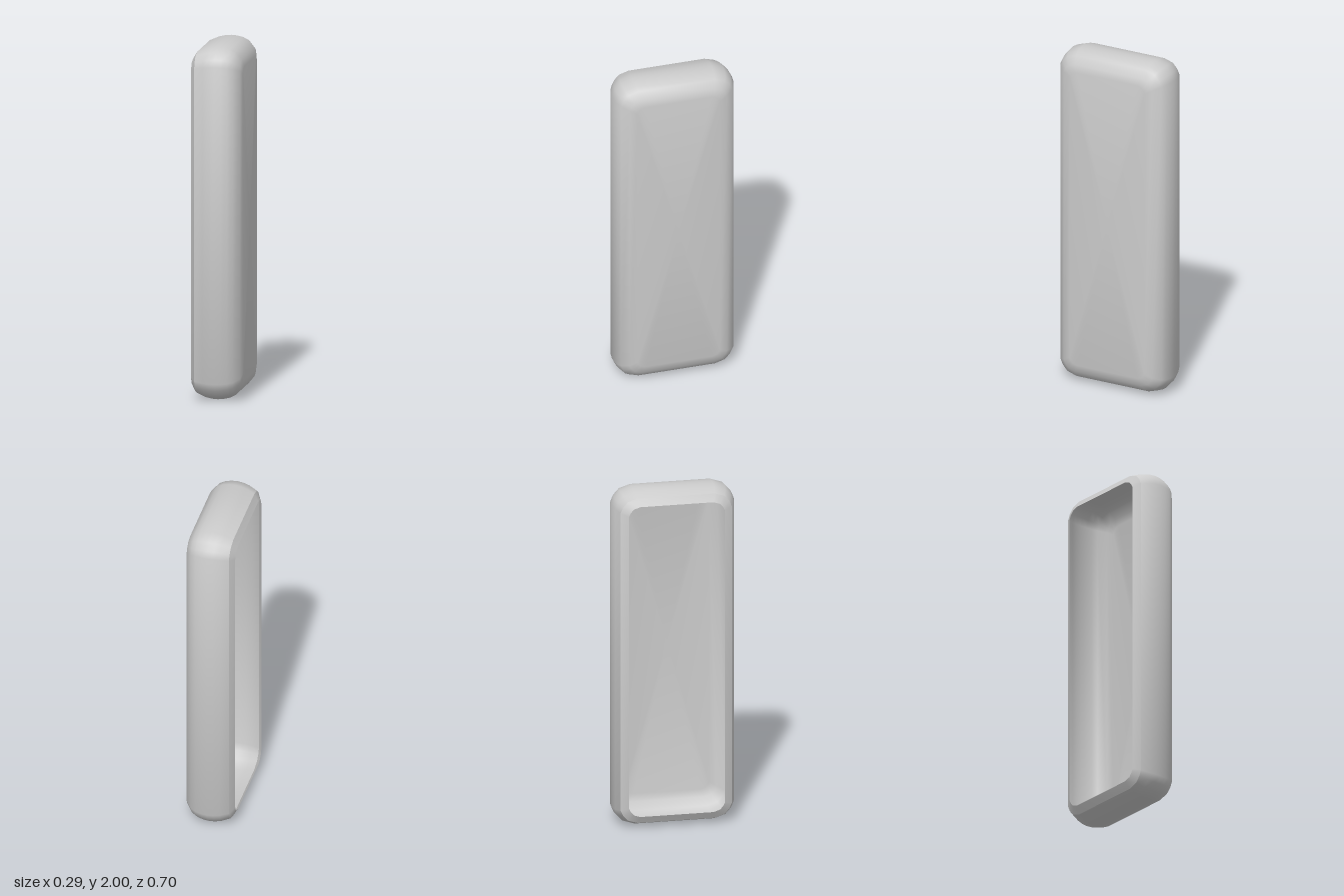
import * as THREE from 'three';
import { toCreasedNormals } from 'three/addons/utils/BufferGeometryUtils.js';

const HALF_Z = 0.35, HALF_Y = 1;

// Chamfer-like corner: [distance from the z side, distance from the y end]
const CORNER = [[0, 0.1], [0.018, 0.06], [0.052, 0.022], [0.12, 0]];

// Soft-cornered rectangle in the y-z plane at depth x, inset from the full outline
function ring(x, inset) {
  const k = Math.max(1 - inset * 6, 0.4);
  const points = [];
  for (let c = 0; c < 4; c++) {
    const sz = c === 0 || c === 3 ? 1 : -1;
    const sy = c < 2 ? 1 : -1;
    const corner = c % 2 ? [...CORNER].reverse() : CORNER;
    for (const [dz, dy] of corner) {
      points.push(new THREE.Vector3(
        x,
        1 + sy * (HALF_Y - inset - k * dy),
        sz * (HALF_Z - inset - k * dz)
      ));
    }
  }
  return points;
}

// Skin neighbouring rings, outward for rings running from +x to -x
function loft(rings) {
  const pos = [];
  const tri = (a, b, c) => {
    const area = b.clone().sub(a).cross(c.clone().sub(a)).length();
    if (area > 1e-9) for (const p of [a, b, c]) pos.push(p.x, p.y, p.z);
  };
  for (let k = 0; k < rings.length - 1; k++) {
    const A = rings[k], B = rings[k + 1], n = A.length;
    for (let i = 0; i < n; i++) {
      const j = (i + 1) % n;
      tri(A[i], A[j], B[i]);
      tri(A[j], B[j], B[i]);
    }
  }
  const geo = new THREE.BufferGeometry();
  geo.setAttribute('position', new THREE.Float32BufferAttribute(pos, 3));
  return toCreasedNormals(geo, 0.6);
}

export function createModel() {
  const group = new THREE.Group();
  group.name = 'hollowCase';
  const material = new THREE.MeshStandardMaterial({ color: 0xcccccc, side: THREE.DoubleSide });
  const add = (name, rings) => {
    const mesh = new THREE.Mesh(loft(rings), material);
    mesh.name = name;
    group.add(mesh);
  };
  const section = (profile) => profile.map(([x, inset]) => ring(x, inset));

  // Thin shell: closed +x panel and bulging side walls, as [x, inset]
  const panelCentre = ring(0.145, 0).map((p) => p.set(0.145, 1, 0));
  add('shell', [panelCentre, ...section([
    [0.145, 0.11], [0.135, 0.067], [0.1, 0.026], [0.07, 0.011], [0.035, 0.003], [0, 0],
    [-0.035, 0.003], [-0.07, 0.011], [-0.12, 0.032],
  ])]);

  // Bevelled lip folding inward around the open -x side
  add('rim', section([[-0.12, 0.032], [-0.145, 0.075]]));

  return group;
}
